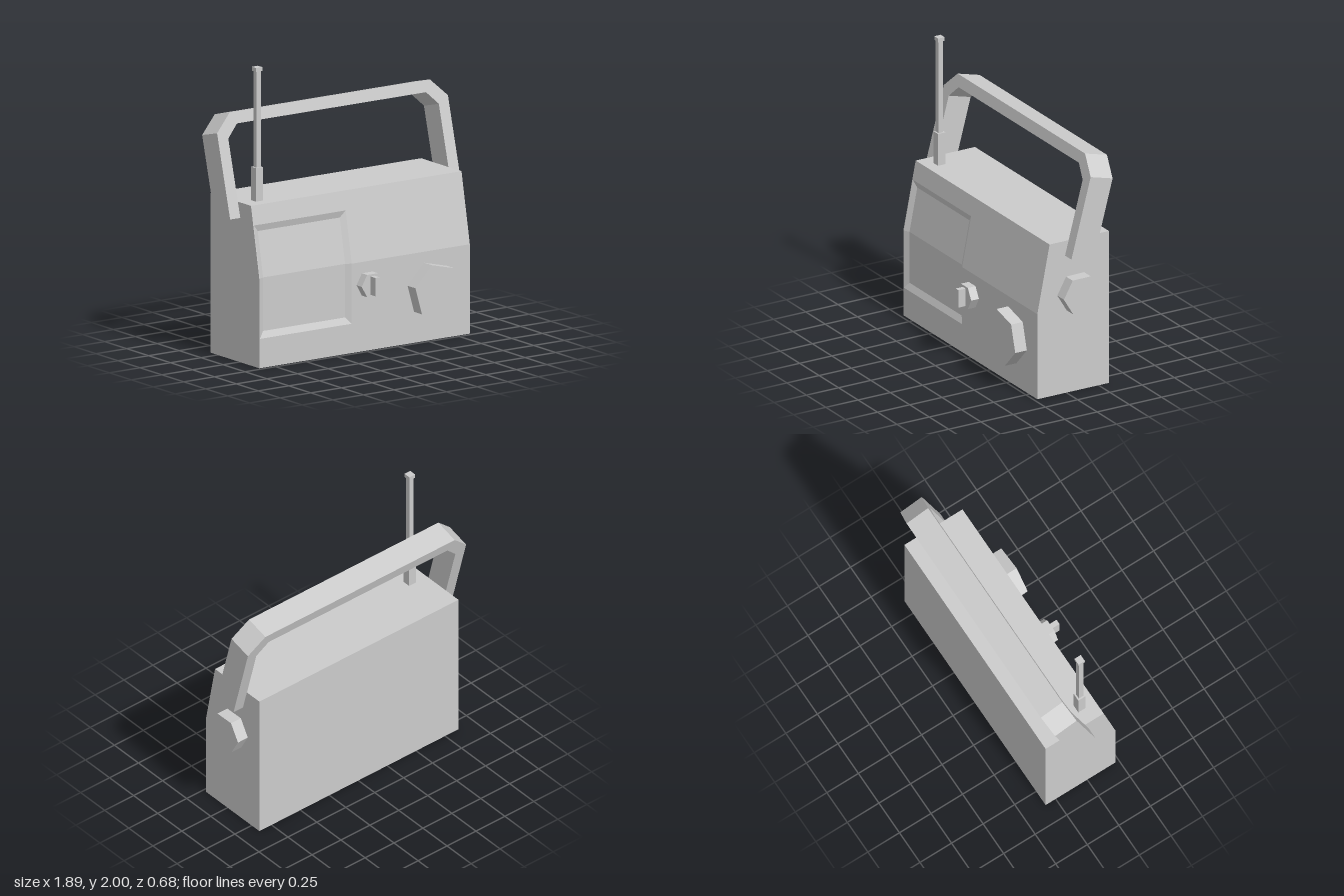
import * as THREE from 'three';

const material = new THREE.MeshStandardMaterial({ color: 0xcccccc, flatShading: true });

function part(name, geometry, x = 0, y = 0, z = 0) {
  const mesh = new THREE.Mesh(geometry, material);
  mesh.name = name;
  mesh.position.set(x, y, z);
  return mesh;
}

// Hexagonal knob lying along z, starting at z = 0; turn is in degrees
function hexKnob(radius, depth, turn) {
  return new THREE.CylinderGeometry(radius, radius, depth, 6)
    .rotateX(Math.PI / 2)
    .rotateZ(THREE.MathUtils.degToRad(turn))
    .translate(0, 0, depth / 2);
}

// Case: side profiles joined along x, with a shallow bevelled recess for the speaker
function caseGeometry() {
  const columns = [-0.865, -0.86, -0.82, -0.15, -0.11, 0.855];
  const rows = [0, 0.2, 0.245, 0.61, 0.915, 0.96, 1.09];
  const recess = 0.02;
  const frontZ = (y) => (y <= 0.61 ? 0.225 : 0.225 - (0.095 * (y - 0.61)) / 0.48);
  const positions = [];
  const index = [];
  const n = rows.length + 2;
  columns.forEach((x, i) => {
    rows.forEach((y, j) => {
      const sunk = (i === 2 || i === 3) && j >= 2 && j <= 4;
      positions.push(x, y, frontZ(y) - (sunk ? recess : 0));
    });
    positions.push(x, 1.09, -0.33, x, 0, -0.33);
  });
  for (let i = 0; i < columns.length - 1; i++) {
    for (let j = 0; j < n; j++) {
      const k = (j + 1) % n;
      const a = i * n + j, b = i * n + k, c = b + n, d = a + n;
      // diagonals follow the mitred recess corners
      if ((i < 3) === (j < 3)) index.push(a, d, c, a, c, b);
      else index.push(a, d, b, d, c, b);
    }
  }
  // end caps
  const end = (columns.length - 1) * n;
  for (let j = 0; j < n - 2; j++) {
    index.push(n - 1, j, j + 1);
    index.push(end + n - 1, end + j + 1, end + j);
  }
  const geometry = new THREE.BufferGeometry();
  geometry.setAttribute('position', new THREE.Float32BufferAttribute(positions, 3));
  geometry.setIndex(index);
  geometry.computeVertexNormals();
  return geometry;
}

// Carrying handle: chamfered arch, extruded backwards
function handleGeometry() {
  const left = [[-0.86, 0], [-0.86, 0.533], [-0.772, 0.623]];
  const outer = [[-0.818, 0.703], [-0.943, 0.58], [-0.943, 0]];
  const mirror = (points) => points.map(([x, y]) => [-x, y]).reverse();
  const outline = [...left, ...mirror(left), ...mirror(outer), ...outer];
  const shape = new THREE.Shape(outline.map(([x, y]) => new THREE.Vector2(x, y)));
  return new THREE.ExtrudeGeometry(shape, { depth: 0.176, bevelEnabled: false })
    .translate(0, 0, -0.176);
}

export function createModel() {
  const model = new THREE.Group();
  model.name = 'portableRadio';

  model.add(part('case', caseGeometry()));

  const handle = part('handle', handleGeometry(), -0.006, 0.985, 0.01);
  handle.rotation.x = -0.26;
  model.add(handle);

  // Knobs
  model.add(part('tuningDial', hexKnob(0.193, 0.1, 16), 0.533, 0.35, 0.215));
  model.add(part('sideKnob', hexKnob(0.14, 0.095, 31).rotateY(Math.PI / 2), 0.845, 0.713, -0.07));
  const selector = new THREE.Group();
  selector.name = 'selectorKnob';
  selector.position.set(0.017, 0.457, 0.215);
  selector.add(part('selectorBase', hexKnob(0.088, 0.07, 30)));
  selector.add(part('selectorGrip', new THREE.BoxGeometry(0.036, 0.125, 0.08), 0, 0, 0.087));
  model.add(selector);

  // Telescopic antenna
  const antenna = new THREE.Group();
  antenna.name = 'antenna';
  antenna.position.set(-0.738, 0, 0.022);
  for (const [name, width, bottom, top] of [
    ['antennaBase', 0.058, 1.08, 1.318],
    ['antennaRod', 0.036, 1.31, 1.98],
    ['antennaTip', 0.05, 1.973, 2],
  ]) {
    antenna.add(part(name, new THREE.BoxGeometry(width, top - bottom, width), 0, (top + bottom) / 2, 0));
  }
  model.add(antenna);

  return model;
}
